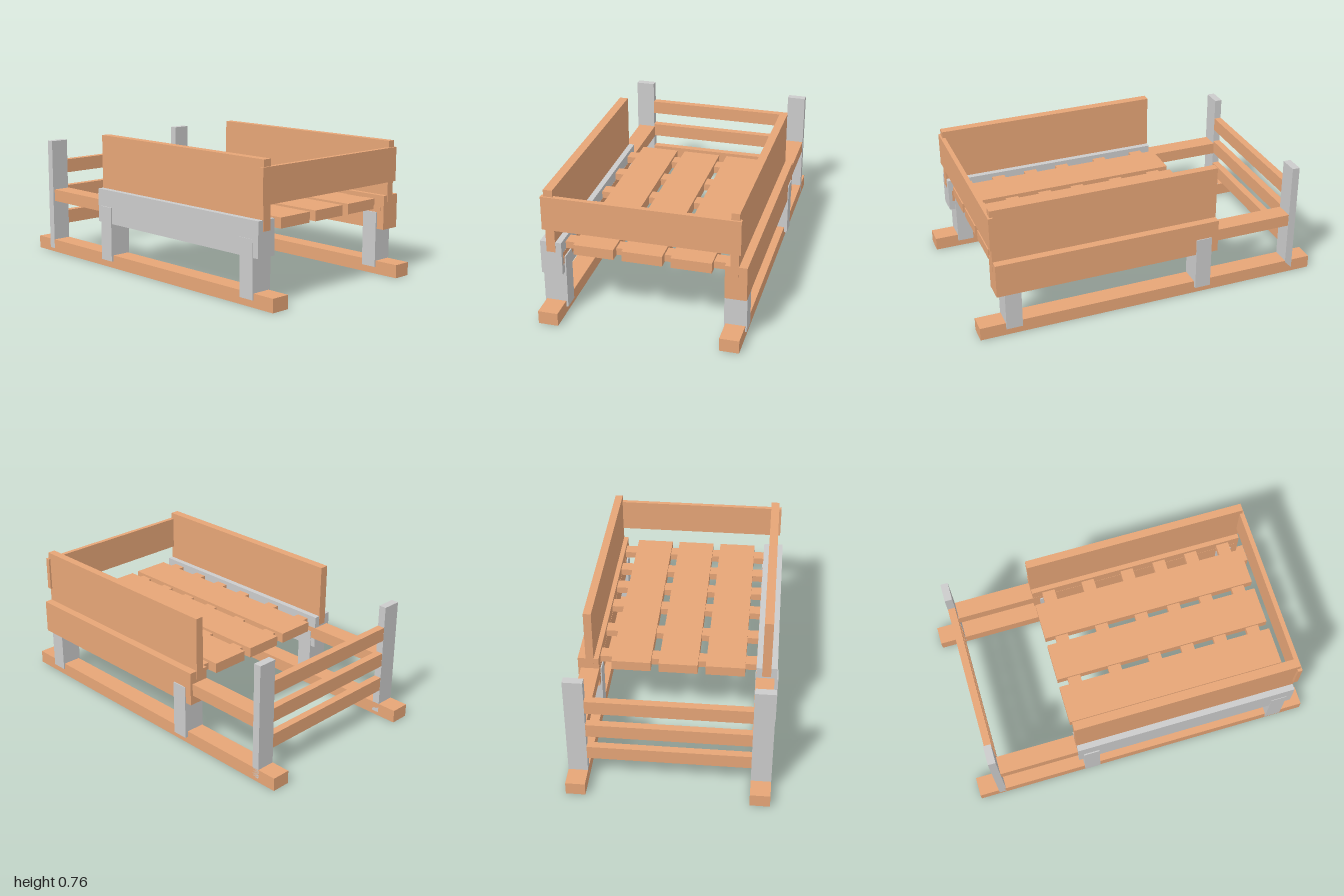
import * as THREE from 'three';

const wood = new THREE.MeshStandardMaterial({ color: 0xe6a577, flatShading: true });
const grey = new THREE.MeshStandardMaterial({ color: 0xcccccc, flatShading: true });

export function createModel() {
  const model = new THREE.Group();
  model.name = 'sledBed';

  // Box given by its [min, max] extents on each axis
  const board = (name, material, x, y, z) => {
    const size = [x, y, z].map(([a, b]) => b - a);
    const mesh = new THREE.Mesh(new THREE.BoxGeometry(...size), material);
    mesh.position.set(...[x, y, z].map(([a, b]) => (a + b) / 2));
    mesh.name = name;
    model.add(mesh);
  };

  // Parts repeated on both sides; the left side sits a hair closer in
  const sides = [
    { name: 'left', inner: 0.44, outer: 0.547, s: 1, rail: wood },
    { name: 'right', inner: 0.445, outer: 0.555, s: -1, rail: grey },
  ];
  for (const { name, inner, outer, s, rail } of sides) {
    const span = (a, b) => (s > 0 ? [a, b] : [-b, -a]);
    const width = span(inner, outer);
    board(name + 'Runner', wood, width, [0, 0.075], [-1, 1]);
    board(name + 'RearPost', grey, width, [0.02, 0.682], [-0.888, -0.845]);
    board(name + 'SideBeam', wood, span(0.441, 0.545), [0.315, 0.385], [-0.858, 0.88]);
    board(name + 'SideRail', rail, span(0.442, 0.56), [0.26, 0.453], [-0.39, 0.9]);
    const boardX = s > 0 ? [0.47, 0.515] : [-0.525, -0.475];
    board(name + 'SideBoard', wood, boardX, [0.395, 0.76], [-0.391, 0.902]);
  }

  // Legs, standing in the runners and clasping the side rails
  board('leftFrontLeg', grey, [0.432, 0.555], [0.04, 0.355], [0.763, 0.855]);
  board('leftRearLeg', grey, [0.435, 0.565], [0.04, 0.355], [-0.35, -0.258]);
  board('rightFrontLeg', grey, [-0.563, -0.434], [0.04, 0.355], [0.772, 0.865]);
  board('rightRearLeg', grey, [-0.567, -0.438], [0.04, 0.355], [-0.36, -0.268]);

  // Rear ladder of crossbars, let into the posts
  for (const y of [0.165, 0.32, 0.48]) {
    board('rearCrossbar', wood, [-0.52, 0.51], [y, y + 0.08], [-0.8875, -0.8455]);
  }

  // Cross slats and lengthwise deck planks
  for (const z of [-0.292, -0.05, 0.193, 0.393, 0.592, 0.795]) {
    board('crossSlat', wood, [-0.5, 0.5], [0.39, 0.43], [z - 0.038, z + 0.038]);
  }
  for (const x of [-0.27, -0.005, 0.26]) {
    board('deckPlank', wood, [x - 0.11, x + 0.11], [0.387, 0.445], [-0.39, 0.885]);
  }

  // Board across the front of the side boards
  board('frontBoard', wood, [-0.54, 0.526], [0.53, 0.722], [0.886, 0.912]);

  return model;
}
